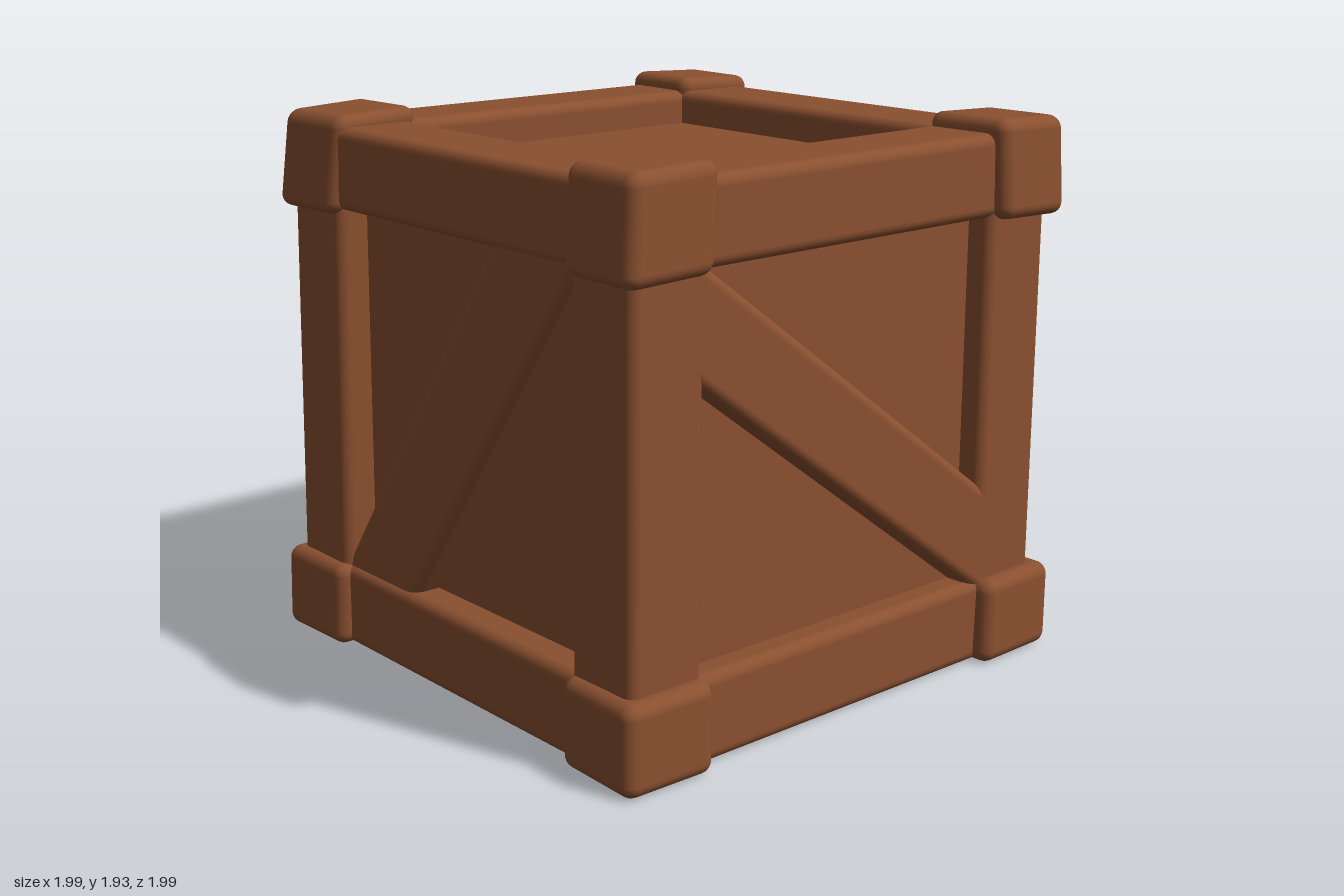
import * as THREE from 'three';
import { RoundedBoxGeometry } from 'three/addons/geometries/RoundedBoxGeometry.js';

export function createModel() {
  const crate = new THREE.Group();
  crate.name = 'crate';
  const wood = new THREE.MeshStandardMaterial({ color: 0x8a5030 });
  wood.name = 'brown wood';

  // Rounded timber, leaning by lean[0] in x and lean[1] in z per unit of height
  function timber(name, size, pos, lean = [0, 0], radius = 0.04) {
    const geo = new RoundedBoxGeometry(...size, 3, radius);
    geo.applyMatrix4(new THREE.Matrix4().set(
      1, lean[0], 0, 0,
      0, 1, 0, 0,
      0, lean[1], 1, 0,
      0, 0, 0, 1));
    const mesh = new THREE.Mesh(geo, wood);
    mesh.name = name;
    mesh.position.set(...pos);
    return mesh;
  }

  // Recessed panels on all six sides
  const core = new THREE.Mesh(new THREE.BoxGeometry(1.63, 1.635, 1.67), wood);
  core.name = 'panels';
  core.position.set(0, 0.9425, 0.005);
  crate.add(core);

  // Horizontal beams round the bottom and the top
  for (const [level, y, height] of [['bottom', 0.158, 0.3], ['top', 1.74, 0.285]]) {
    for (const s of [-1, 1]) {
      const side = s > 0 ? 'Left' : 'Right';
      const face = s > 0 ? 'Front' : 'Back';
      // The top beams on the back and right are set slightly further in
      const inset = level === 'top' && s < 0 ? 0.01 : 0;
      crate.add(timber(level + face + 'Beam', [1.6, height, 0.305], [0, y, s * (0.783 - inset)]));
      crate.add(timber(level + side + 'Beam', [0.305, height, 1.6], [s * (0.785 - inset), y, 0]));
    }
  }

  // Upright posts and corner blocks
  for (const sx of [-1, 1]) {
    for (const sz of [-1, 1]) {
      const corner = (sz > 0 ? 'Front' : 'Back') + (sx > 0 ? 'Left' : 'Right');
      crate.add(timber('post' + corner, [0.297, 1.6, 0.297], [sx * 0.786, 0.95, sz * 0.784],
        [sx < 0 ? 0.008 : 0, sz < 0 ? 0.02 : 0]));

      const low = timber('bottomBlock' + corner, [0.352, 0.305, 0.352],
        [sx * 0.812, 0.16, sz * 0.814], [sx < 0 ? 0.02 : 0.03, -sz * 0.02], 0.045);
      low.rotation.y = sx * sz * 0.03;
      crate.add(low);

      // The top blocks lean inwards, most on the right and back
      const high = timber('topBlock' + corner, [0.335, 0.34, 0.335],
        [sx < 0 ? -0.787 : 0.81, 1.757, sz < 0 ? -0.78 : 0.808],
        [sx < 0 ? 0.12 : -0.08, sz < 0 ? 0.09 : -0.04], 0.045);
      high.rotation.set(0, sx * sz * 0.04, -sx * 0.04);
      crate.add(high);
    }
  }

  // One diagonal brace per side face: name, turn, slope, length, width, centre x, y, outer depth
  const braces = [
    ['frontBrace', 0, -0.639, 1.94, 0.315, 0, 0.948, 0.932],
    ['rightSideBrace', Math.PI / 2, 0.955, 1.88, 0.36, -0.02, 0.95, 0.915],
    ['backBrace', Math.PI, -0.639, 1.94, 0.315, 0, 0.948, 0.92],
    ['leftSideBrace', -Math.PI / 2, 0.955, 1.88, 0.36, -0.02, 0.95, 0.915],
  ];
  for (const [name, turn, slope, length, width, x, y, depth] of braces) {
    const holder = new THREE.Group();
    holder.name = name;
    holder.rotation.y = turn;
    const brace = timber(name + 'Plank', [length, width, 0.24], [x, y, depth - 0.12]);
    brace.rotation.z = slope;
    holder.add(brace);
    crate.add(holder);
  }
  return crate;
}
